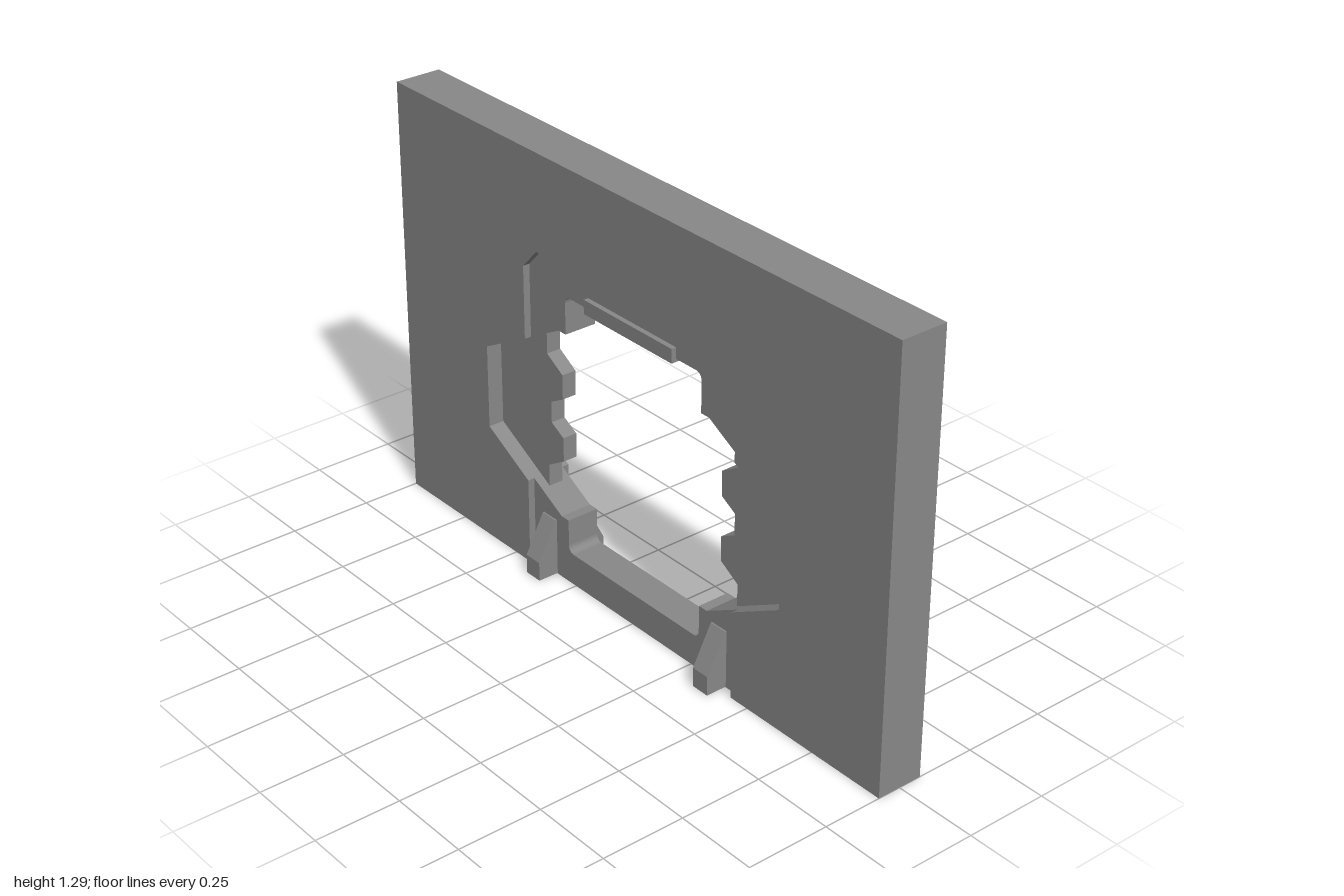
import * as THREE from 'three';

const material = new THREE.MeshStandardMaterial({ color: 0x888888, flatShading: true });

// Half outline on +x, listed bottom to top, mirrored into a closed loop
const mirrorLoop = (half) => [...half, ...half.map(([x, y]) => [-x, y]).reverse()];

// Prism of an outline, centred on z = 0
function slab(name, points, depth) {
  const shape = new THREE.Shape(points.map(([x, y]) => new THREE.Vector2(x, y)));
  const geometry = new THREE.ExtrudeGeometry(shape, { depth, bevelEnabled: false });
  geometry.translate(0, 0, -depth / 2);
  const mesh = new THREE.Mesh(geometry, material);
  mesh.name = name;
  return mesh;
}

// Small rounded inner corner: points on a quarter arc
function arc(cx, cy, r, from, to) {
  const points = [];
  for (let i = 0; i <= 4; i++) {
    const a = THREE.MathUtils.degToRad(from + ((to - from) * i) / 4);
    points.push([cx + r * Math.cos(a), cy + r * Math.sin(a)]);
  }
  return points;
}

export function createModel() {
  const model = new THREE.Group();
  model.name = 'wallWithOpening';

  // Thick wall with a doorway and pointed side bays cut out
  const opening = mirrorLoop([
    [0.435, 0], [0.435, 0.267], [0.613, 0.364], [0.613, 0.619],
    [0.435, 0.714], [0.435, 0.935], [0.375, 0.998],
  ]);
  model.add(slab('wall', [...opening, [-1, 0], [-1, 1.287], [1, 1.287], [1, 0]], 0.142));

  // Recessed frame: lintel above, sill below
  model.add(slab('frameTop', mirrorLoop([
    ...arc(0.26, 0.877, 0.02, 90, 0), [0.28, 0.782], [0.311, 0.782],
    [0.435, 0.714], [0.435, 0.935], [0.375, 0.998],
  ]), 0.1));
  model.add(slab('frameBottom', mirrorLoop([
    [0.435, 0], [0.435, 0.267], [0.311, 0.2], [0.28, 0.2],
    ...arc(0.26, 0.118, 0.02, 0, -90),
  ]), 0.1));

  // Thin toothed plates filling the side bays
  for (const s of [1, -1]) {
    model.add(slab(s > 0 ? 'leftToothedPlate' : 'rightToothedPlate', [
      [0.4, 0.248], [0.613, 0.364], [0.613, 0.619], [0.4, 0.733],
      [0.4, 0.667], [0.333, 0.627], [0.333, 0.552], [0.385, 0.523],
      [0.385, 0.458], [0.333, 0.43], [0.333, 0.356], [0.4, 0.316],
    ].map(([x, y]) => [s * x, y]), 0.045));
  }

  // Bar under the lintel
  const bar = new THREE.Mesh(new THREE.BoxGeometry(0.36, 0.042, 0.13), material);
  bar.name = 'lintelBar';
  bar.position.y = 0.909;
  model.add(bar);

  // Sloped feet that stick out on both faces
  const footProfile = mirrorLoop([[0.115, 0.002], [0.115, 0.06], [0.055, 0.177]]);
  for (const s of [1, -1]) {
    const foot = slab(s > 0 ? 'leftFoot' : 'rightFoot', footProfile, 0.058);
    foot.rotation.y = Math.PI / 2;
    foot.position.x = s * 0.363;
    model.add(foot);
  }

  return model;
}
